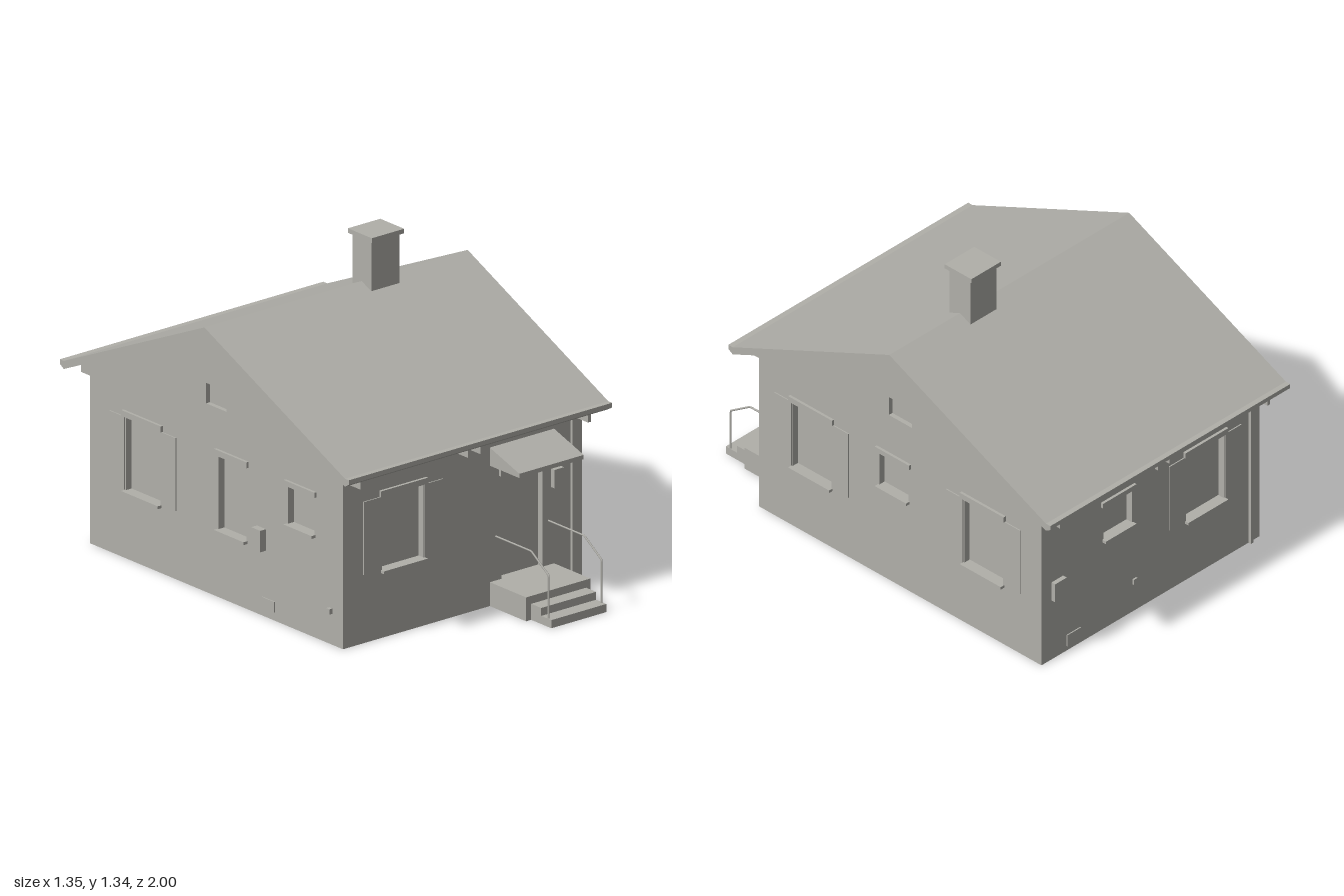
import * as THREE from 'three';

const stone = new THREE.MeshStandardMaterial({ color: 0xb0afa9, side: THREE.DoubleSide });
stone.name = 'warm grey';

const RIDGE_Z = -0.118, HALF_X = 0.612, HALF_Z = 0.773, SLOPE = 0.451;
const UNDER_RIDGE = 1.107, EAVE = UNDER_RIDGE - SLOPE * HALF_Z;

function add(parent, name, geometry, x = 0, y = 0, z = 0) {
  const mesh = new THREE.Mesh(geometry, stone);
  mesh.name = name;
  mesh.position.set(x, y, z);
  parent.add(mesh);
  return mesh;
}

// Box given by its lower and upper corners
function box(parent, name, x0, x1, y0, y1, z0, z1) {
  return add(parent, name, new THREE.BoxGeometry(x1 - x0, y1 - y0, z1 - z0),
    (x0 + x1) / 2, (y0 + y1) / 2, (z0 + z1) / 2);
}

// Side profile given as [z, y], extruded along x
function profile(parent, name, points, x0, x1) {
  const shape = new THREE.Shape(points.map(([z, y]) => new THREE.Vector2(-z, y)));
  const geo = new THREE.ExtrudeGeometry(shape, { depth: x1 - x0, bevelEnabled: false });
  geo.rotateY(Math.PI / 2);
  return add(parent, name, geo, x0);
}

// Recessed pane with its four reveals
function recess(parent, name, { u, w, y0, y1 }, depth) {
  const g = new THREE.Group();
  g.name = name;
  g.position.set(u, (y0 + y1) / 2, 0);
  parent.add(g);
  const h = y1 - y0;
  add(g, 'pane', new THREE.PlaneGeometry(w, h), 0, 0, -depth);
  for (const s of [-1, 1]) {
    add(g, 'sideReveal', new THREE.PlaneGeometry(depth, h), s * w / 2, 0, -depth / 2).rotation.y = -s * Math.PI / 2;
    add(g, 'crossReveal', new THREE.PlaneGeometry(w, depth), 0, s * h / 2, -depth / 2).rotation.x = s * Math.PI / 2;
  }
}

// Wall in its own frame: u to the right, y up, outside towards +z
function wall(parent, name, outline, openings) {
  const g = new THREE.Group();
  g.name = name;
  parent.add(g);
  const shape = new THREE.Shape(outline.map(([u, y]) => new THREE.Vector2(u, y)));
  for (const o of openings) {
    const a = o.u - o.w / 2, b = o.u + o.w / 2;
    shape.holes.push(new THREE.Path([[a, o.y0], [a, o.y1], [b, o.y1], [b, o.y0]]
      .map(([u, y]) => new THREE.Vector2(u, y))));
    recess(g, o.name, o, o.depth ?? 0.03);
    if (o.lintel) box(g, 'lintel', a - 0.014, b + 0.014, o.y1, o.y1 + o.lintel, -0.01, 0.012);
    if (o.sill) box(g, 'sill', a - 0.006, b + 0.006, o.y0 - 0.012, o.y0, -0.03, 0.02);
    if (o.shutters) {
      box(g, 'shutter', a - 0.096, a - 0.004, o.y0 + 0.002, o.y1 - 0.002, 0, 0.005);
      box(g, 'shutter', b + 0.004, b + 0.096, o.y0 + 0.002, o.y1 - 0.002, 0, 0.005);
    }
  }
  add(g, 'wallFace', new THREE.ShapeGeometry(shape));
  return g;
}

const largeWindow = (u) => ({ name: 'shutteredWindow', u, w: 0.213, y0: 0.285, y1: 0.595, lintel: 0.025, sill: true, shutters: true });
const tallWindow = (u) => ({ ...largeWindow(u), name: 'tallWindow', w: 0.17, shutters: false });
const smallWindow = (u) => ({ name: 'smallWindow', u, w: 0.16, y0: 0.43, y1: 0.59, lintel: 0.022, sill: true });
const atticVent = (u) => ({ name: 'atticOpening', u, w: 0.126, y0: 0.79, y1: 0.876, depth: 0.02 });
const door = { name: 'door', u: 0.305, w: 0.21, y0: 0.1, y1: 0.534, lintel: 0.026 };

export function createModel() {
  const house = new THREE.Group();
  house.name = 'house';

  // Walls
  const long = [[-HALF_X, 0], [HALF_X, 0], [HALF_X, EAVE], [-HALF_X, EAVE]];
  const gable = (c) => [[c - HALF_Z, 0], [c + HALF_Z, 0], [c + HALF_Z, EAVE], [c, UNDER_RIDGE], [c - HALF_Z, EAVE]];

  const front = wall(house, 'frontWall', long, [largeWindow(-0.306), door]);
  front.position.z = RIDGE_Z + HALF_Z;

  const back = wall(house, 'backWall', long, [largeWindow(0.306), smallWindow(-0.184)]);
  back.position.z = RIDGE_Z - HALF_Z;
  back.rotation.y = Math.PI;

  const left = wall(house, 'leftGable', gable(-RIDGE_Z),
    [largeWindow(-0.365), smallWindow(0.083), largeWindow(0.575), atticVent(-RIDGE_Z)]);
  left.position.x = HALF_X;
  left.rotation.y = Math.PI / 2;

  const right = wall(house, 'rightGable', gable(RIDGE_Z),
    [largeWindow(-0.565), tallWindow(-0.02), smallWindow(0.4), atticVent(RIDGE_Z)]);
  right.position.x = -HALF_X;
  right.rotation.y = -Math.PI / 2;

  // Small fittings on the walls
  box(front, 'letterBox', 0.453, 0.503, 0.423, 0.5, 0, 0.02);
  box(back, 'meterBox', -0.555, -0.49, 0.283, 0.37, 0, 0.02);
  box(back, 'ventPipe', -0.1, -0.08, 0.13, 0.155, 0, 0.008);
  box(back, 'accessPlate', -0.47, -0.395, 0.02, 0.075, 0, 0.005);
  box(right, 'meterBox', 0.13, 0.185, 0.278, 0.368, 0, 0.03);
  box(right, 'ventPipe', 0.57, 0.59, 0.13, 0.152, 0, 0.015);
  box(right, 'accessPlate', 0.165, 0.24, 0.036, 0.08, 0, 0.005);

  // Downpipes and eave brackets, same layout on both long walls
  for (const w of [front, back]) {
    box(w, 'downpipe', 0.551, 0.567, 0, 0.74, 0, 0.013);
    for (const x of [-0.585, -0.034, 0.03, 0.58])
      box(w, 'eaveBracket', x - 0.008, x + 0.008, 0.688, 0.74, 0, 0.083);
  }

  // Roof slab with flat-topped gutter edges
  const half = [[0.858, 0.754], [0.882, 0.754], [0.882, 0.735], [0.858, 0.72]];
  profile(house, 'roof', [
    [RIDGE_Z, 1.141],
    ...half.map(([d, y]) => [RIDGE_Z + d, y]),
    [RIDGE_Z, UNDER_RIDGE],
    ...half.slice().reverse().map(([d, y]) => [RIDGE_Z - d, y]),
  ], -0.674, 0.674);

  // Chimney
  box(house, 'chimneyStack', 0.132, 0.277, 1.09, 1.33, -0.176, -0.06);
  box(house, 'chimneyCap', 0.121, 0.287, 1.325, 1.344, -0.19, -0.044);

  // Door canopy
  profile(house, 'doorCanopy', [[0.655, 0.588], [0.836, 0.588], [0.836, 0.606], [0.655, 0.664]], 0.139, 0.468);

  // Porch and steps
  box(house, 'porch', 0.139, 0.468, 0, 0.1, 0.655, 0.877);
  box(house, 'upperStep', 0.165, 0.446, 0, 0.067, 0.877, 0.938);
  box(house, 'lowerStep', 0.165, 0.446, 0, 0.034, 0.938, 1.0);

  // Handrails
  for (const x of [0.17, 0.441]) {
    const path = new THREE.CurvePath();
    const pts = [[0.03, 0.978], [0.214, 0.978], [0.285, 0.872], [0.285, 0.655]]
      .map(([y, z]) => new THREE.Vector3(x, y, z));
    for (let i = 0; i < 3; i++) path.add(new THREE.LineCurve3(pts[i], pts[i + 1]));
    add(house, 'handrail', new THREE.TubeGeometry(path, 60, 0.004, 6));
  }

  return house;
}
